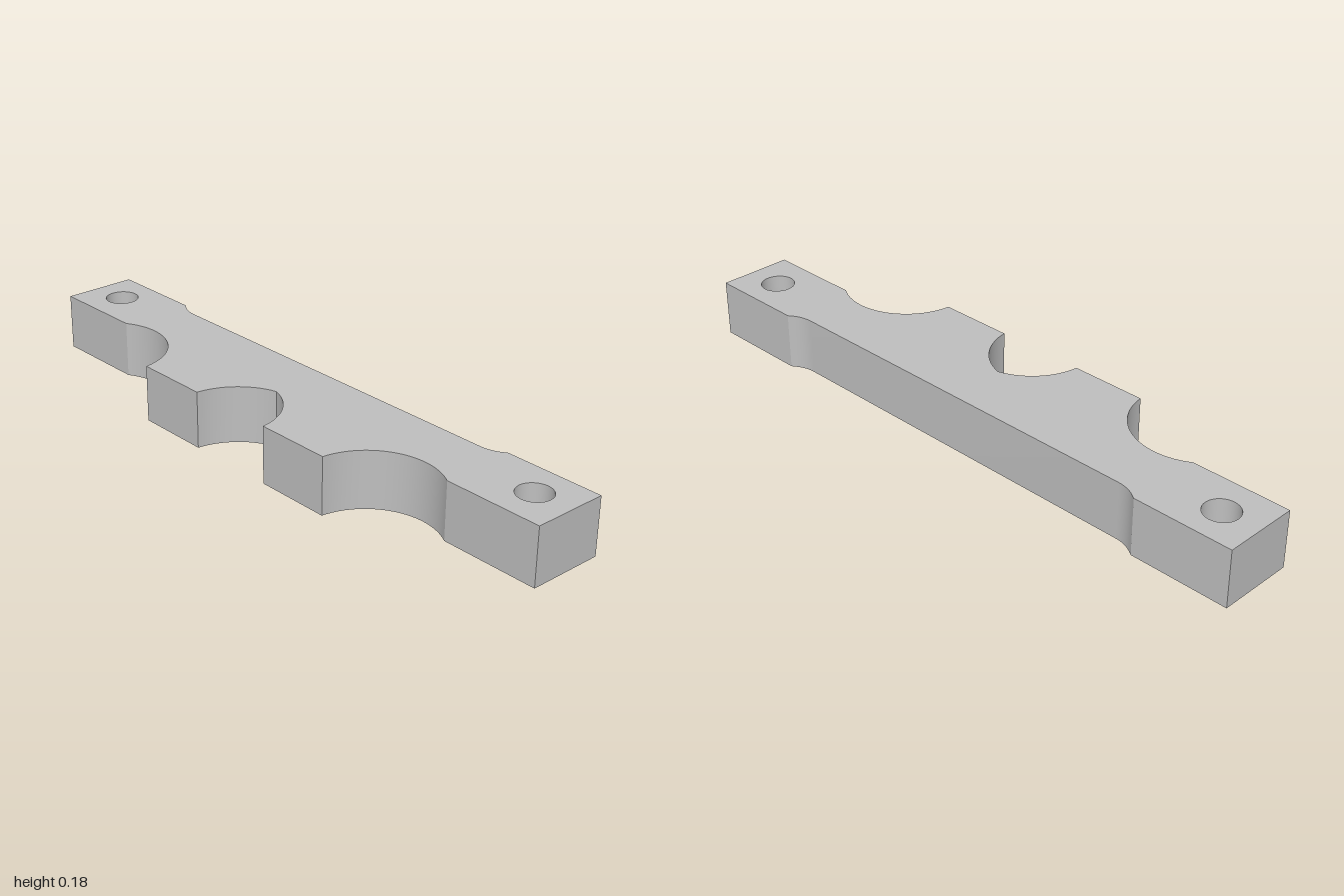
import * as THREE from 'three';
import { toCreasedNormals } from 'three/addons/utils/BufferGeometryUtils.js';

const HEIGHT = 0.177;
const BOLT = { x: 0.88, z: -0.078, r: 0.052 };                        // through holes
const PILOT = { x: 0.265, z: 0.073, r: 0.052, rim: 0.066, depth: 0.13 }; // blind holes below
const CHAMFER = 0.015;

// Points along an arc in the plan (x, z), angles in degrees measured towards the back
function arc(cx, cz, r, from, to, steps) {
  return Array.from({ length: steps + 1 }, (_, i) => {
    const a = THREE.MathUtils.degToRad(from + (to - from) * i / steps);
    return new THREE.Vector2(cx + r * Math.cos(a), cz - r * Math.sin(a));
  });
}

// Plan outline, anticlockwise from above: +x half, then its mirror
function outline() {
  const half = [
    ...arc(-0.054, 0.211, 0.2, 74.3, 5.45, 14),   // central pointed notch
    ...arc(0.585, 0.211, 0.2, 174.55, 57.5, 24),  // outer scallop
    new THREE.Vector2(1, 0.043),
    new THREE.Vector2(1, -0.192),
    new THREE.Vector2(0.69, -0.192),
    ...arc(0.615, -0.279, 0.114, -49, -90, 8).slice(1), // back relief
  ];
  half[0].x = 0;
  const mirrored = half.slice(1).reverse().map(p => new THREE.Vector2(-p.x, p.y));
  return [...half, ...mirrored];
}

// Flat cap with round holes; side is 1 for the top and -1 for the bottom
function capGeometry(points, side, holes) {
  const shape = new THREE.Shape(points.map(p => new THREE.Vector2(p.x, -side * p.y)));
  for (const [x, z, r] of holes) {
    const hole = new THREE.Path();
    hole.absarc(x, -side * z, r, 0, Math.PI * 2, true);
    shape.holes.push(hole);
  }
  return new THREE.ShapeGeometry(shape, 16).rotateX(-side * Math.PI / 2);
}

// Upright walls around the outline
function wallGeometry(points) {
  const pos = [];
  points.forEach((p, i) => {
    const q = points[(i + 1) % points.length];
    pos.push(p.x, 0, p.y, q.x, 0, q.y, q.x, HEIGHT, q.y);
    pos.push(p.x, 0, p.y, q.x, HEIGHT, q.y, p.x, HEIGHT, p.y);
  });
  const geo = new THREE.BufferGeometry();
  geo.setAttribute('position', new THREE.Float32BufferAttribute(pos, 3));
  return toCreasedNormals(geo, 0.4);
}

// Inward-facing bore, profile listed from top to bottom
function boreGeometry(profile) {
  const pts = profile.map(([r, y]) => new THREE.Vector2(r, y));
  return toCreasedNormals(new THREE.LatheGeometry(pts, 32), 0.5);
}

export function createModel() {
  const group = new THREE.Group();
  group.name = 'clampBar';
  const grey = new THREE.MeshStandardMaterial({ color: 0xbfbfbf });
  grey.name = 'grey';

  const add = (name, geometry, x = 0, z = 0) => {
    const mesh = new THREE.Mesh(geometry, grey);
    mesh.name = name;
    mesh.position.set(x, 0, z);
    group.add(mesh);
  };

  const points = outline();
  const bolts = [-1, 1].map(s => [s * BOLT.x, BOLT.z, BOLT.r]);
  const pilots = [-1, 1].map(s => [s * PILOT.x, PILOT.z, PILOT.rim]);

  // Body
  add('sideWalls', wallGeometry(points));
  add('topFace', capGeometry(points, 1, bolts).translate(0, HEIGHT, 0));
  add('bottomFace', capGeometry(points, -1, [...bolts, ...pilots]));

  // Holes
  const boltBore = boreGeometry([[BOLT.r, HEIGHT], [BOLT.r, 0]]);
  const pilotBore = boreGeometry([
    [0, PILOT.depth], [PILOT.r, PILOT.depth], [PILOT.r, CHAMFER], [PILOT.rim, 0],
  ]);
  for (const [side, s] of [['left', 1], ['right', -1]]) {
    add(side + 'BoltHole', boltBore, s * BOLT.x, BOLT.z);
    add(side + 'BlindHole', pilotBore, s * PILOT.x, PILOT.z);
  }
  return group;
}
